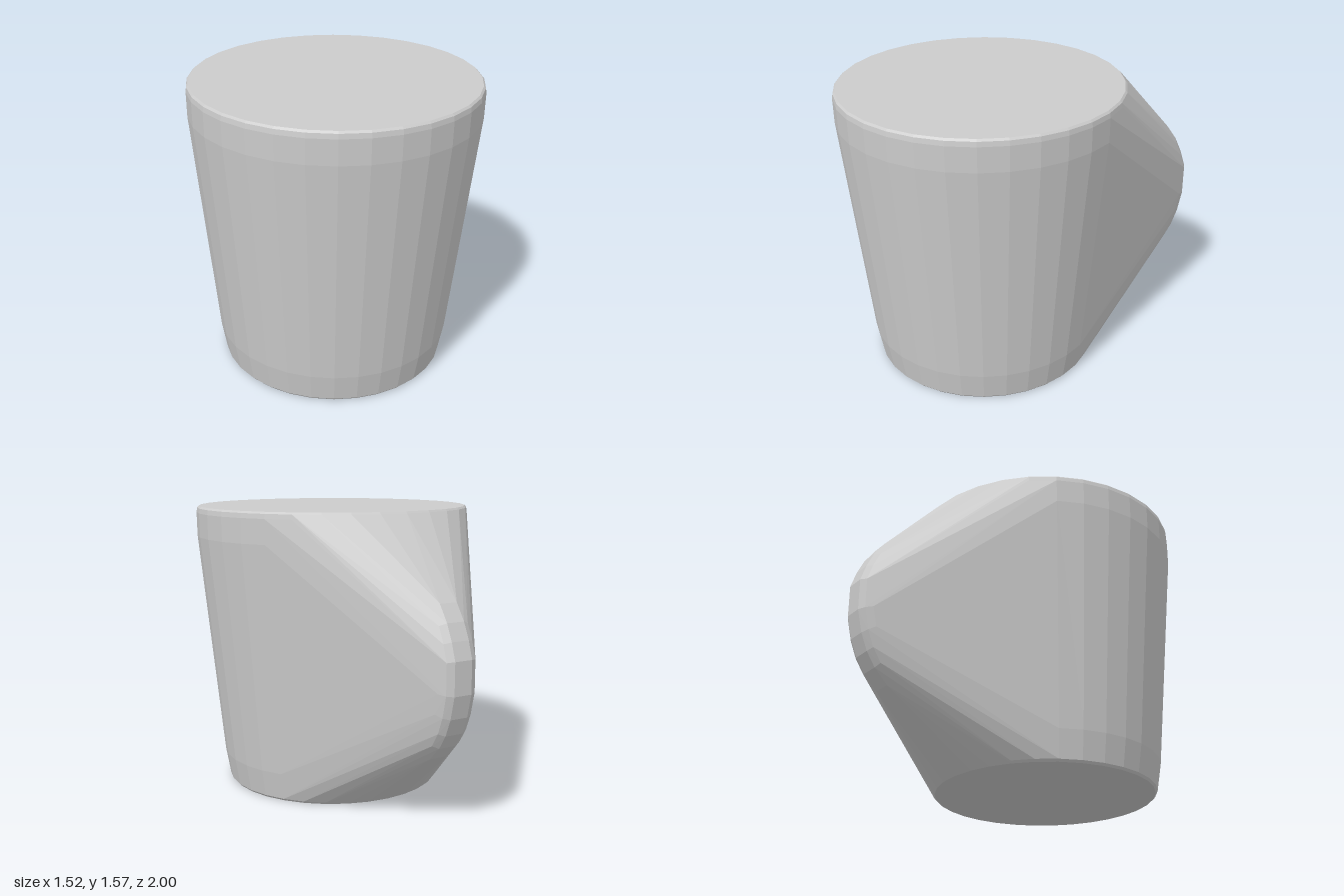
import * as THREE from 'three';
import { ConvexGeometry } from 'three/addons/geometries/ConvexGeometry.js';

export function createModel() {
  const group = new THREE.Group();
  const points = [];

  // Tapered cup: rings of [radius, height] around an axis set forward of centre
  const axisZ = 0.243, sides = 32;
  const profile = [[0.595, 0], [0.606, 0.012], [0.632, 0.16], [0.757, 1.4], [0.759, 1.53], [0.755, 1.555], [0.745, 1.565]];
  for (const [r, y] of profile) {
    for (let i = 0; i < sides; i++) {
      const a = (i / sides) * Math.PI * 2;
      points.push(new THREE.Vector3(Math.sin(a) * r, y, axisZ + Math.cos(a) * r));
    }
  }

  // Rounded handle ridge at the back: outline [z, y] swept with a rounded section
  const ridge = [[-0.87, 1.15], [-0.93, 1.065], [-0.97, 0.98], [-1, 0.89], [-1, 0.72], [-0.972, 0.6], [-0.935, 0.51], [-0.885, 0.435], [-0.81, 0.36]];
  const section = [[0.05, 0], [0.085, 0.02], [0.108, 0.055]];
  const centre = new THREE.Vector2(-0.6, 0.8);
  for (const [z, y] of ridge) {
    const inward = centre.clone().sub(new THREE.Vector2(z, y)).normalize();
    for (const [x, depth] of section) {
      for (const s of [-1, 1]) {
        points.push(new THREE.Vector3(s * x, y + inward.y * depth, z + inward.x * depth));
      }
    }
  }

  // One faceted skin wraps the cup and its handle
  const body = new THREE.Mesh(
    new ConvexGeometry(points),
    new THREE.MeshStandardMaterial({ color: 0xcccccc, flatShading: true })
  );
  body.name = 'mugHull';
  group.add(body);
  return group;
}
